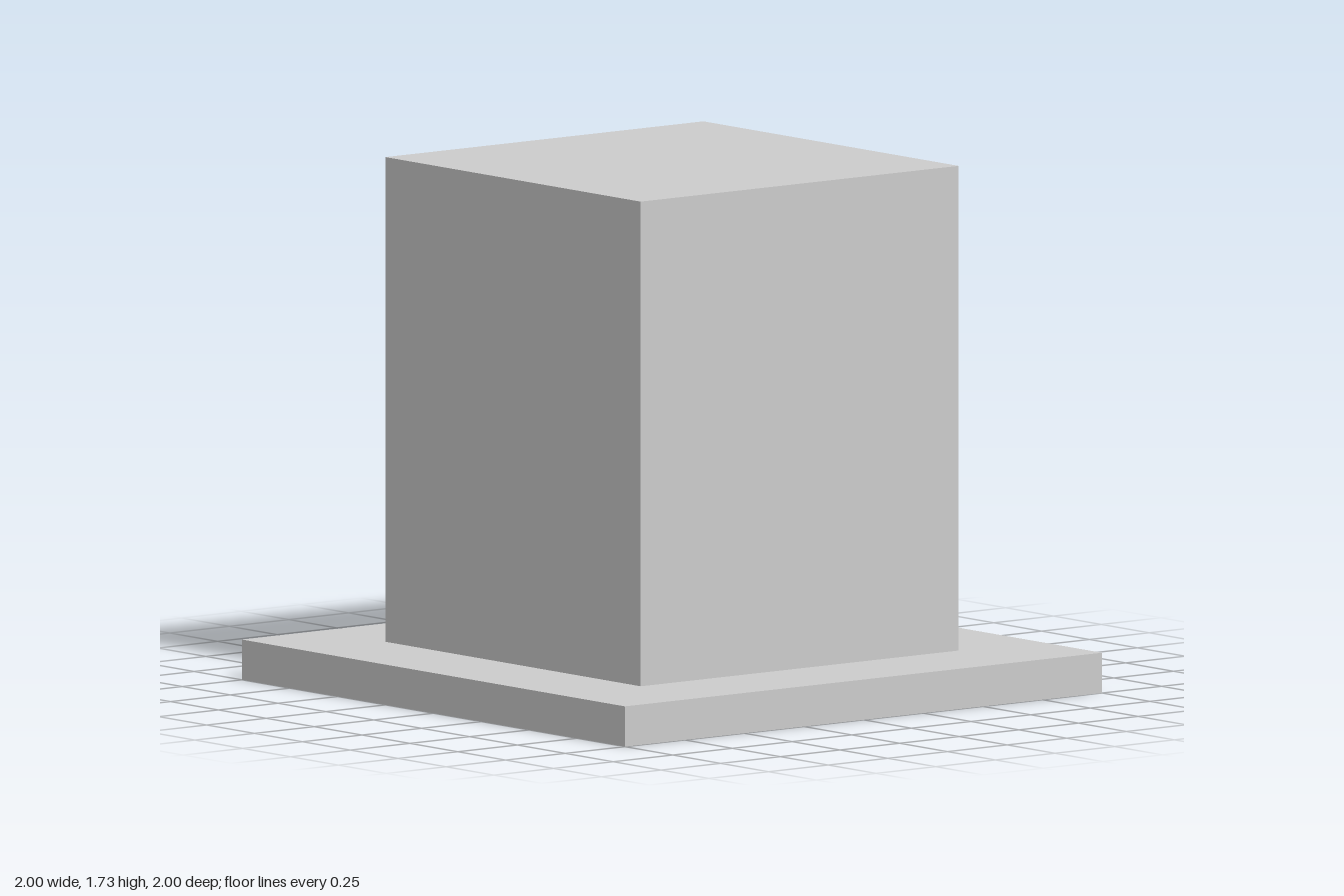
import * as THREE from 'three';

const BASE_HEIGHT = 0.133;
const BLOCK_HEIGHT = 1.6;

export function createModel() {
  const group = new THREE.Group();
  const material = new THREE.MeshStandardMaterial({ color: 0xcccccc });

  // Square box of the given width, standing on the height "bottom"
  function addBox(name, width, height, bottom) {
    const mesh = new THREE.Mesh(new THREE.BoxGeometry(width, height, width), material);
    mesh.name = name;
    mesh.position.y = bottom + height / 2;
    group.add(mesh);
  }

  // Thin plate on the ground
  addBox('basePlate', 2, BASE_HEIGHT, 0);
  // Tall block on top of the plate
  addBox('block', 1.333, BLOCK_HEIGHT, BASE_HEIGHT);

  return group;
}
